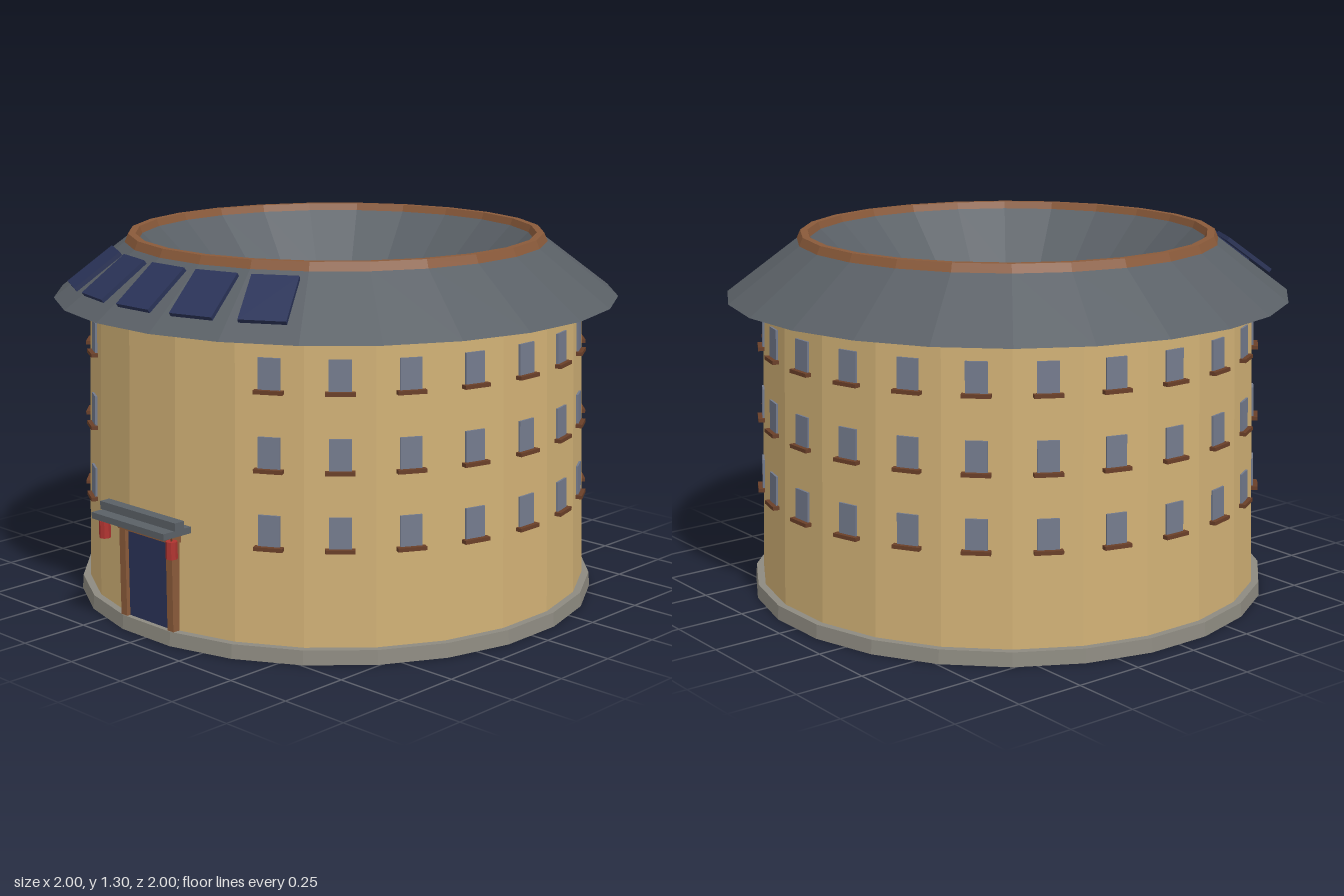
import * as THREE from 'three';

const SIDES = 24, STEP = Math.PI * 2 / SIDES, HALF = STEP / 2;

function mat(name, color) {
  const m = new THREE.MeshStandardMaterial({ color, flatShading: true });
  m.name = name;
  return m;
}

export function createModel() {
  const M = {
    earth: mat('rammed earth', 0xd0b075),
    stone: mat('stone', 0x8d8a80),
    paving: mat('paving', 0x9b9488),
    tile: mat('roof tile', 0x5a6066),
    wood: mat('wood', 0x8a5a3a),
    darkWood: mat('dark wood', 0x6a3f28),
    glass: mat('window glass', 0x737a8c),
    navy: mat('navy panel', 0x2a3358),
    red: mat('lantern red', 0xb03430),
    green: mat('foliage', 0x4a8f5c),
  };
  const model = new THREE.Group();
  model.name = 'roundHouse';

  function add(name, geo, material, x = 0, y = 0, z = 0, parent = model) {
    const m = new THREE.Mesh(geo, material);
    m.name = name;
    m.position.set(x, y, z);
    parent.add(m);
    return m;
  }
  const box = (w, h, d) => new THREE.BoxGeometry(w, h, d);

  // 24-sided ring from an (r, y) profile, with a flat side facing front
  function ring(name, profile, material) {
    const pts = profile.map(([r, y]) => new THREE.Vector2(r, y));
    return add(name, new THREE.LatheGeometry(pts, SIDES, HALF), material);
  }
  const band = (name, r0, r1, y0, y1, material) =>
    ring(name, [[r1, y0], [r1, y1], [r0, y1], [r0, y0], [r1, y0]], material);

  // group turned so that its +z points out of one side of the building
  function side(name, angle) {
    const g = new THREE.Group();
    g.name = name;
    g.rotation.y = angle;
    model.add(g);
    return g;
  }

  // base, courtyard and walls
  ring('plinth', [[0, 0], [0.938, 0], [0.934, 0.05], [0, 0.05]], M.stone);
  ring('courtyard', [[0.57, 0.055], [0, 0.055]], M.paving);
  ring('walls', [[0.908, 0.05], [0.88, 1.08], [0.56, 1.08], [0.56, 0.05]], M.earth);

  // ring roof with ridge cap
  ring('roof', [[0.505, 1.08], [1.0085, 1.08], [0.745, 1.28], [0.71, 1.28], [0.505, 1.08]], M.tile);
  ring('ridgeCap', [[0.755, 1.272], [0.742, 1.302], [0.716, 1.302], [0.705, 1.272], [0.755, 1.272]], M.wood);

  // outer windows on every side but the three at the front
  const lean = 0.028 / 1.03;
  const wallAt = y => (0.908 - lean * (y - 0.05)) * Math.cos(HALF);
  for (let i = 2; i <= SIDES - 2; i++) {
    const g = side('windowColumn', i * STEP);
    for (const y of [0.385, 0.645, 0.905]) {
      const w = add('window', box(0.074, 0.106, 0.009), M.glass, 0, y + 0.053, wallAt(y + 0.053) + 0.003, g);
      w.rotation.x = -lean;
      add('windowSill', box(0.098, 0.013, 0.03), M.darkWood, 0, y - 0.005, wallAt(y) + 0.008, g);
    }
  }

  // inner galleries: decks, rails, posts and openings
  const floors = [0.31, 0.565, 0.82];
  for (const y of floors) {
    band('galleryDeck', 0.508, 0.56, y - 0.03, y, M.wood);
    band('galleryRail', 0.508, 0.52, y + 0.09, y + 0.105, M.darkWood);
  }
  for (let i = 0; i < 12; i++) {
    const g = side('galleryPost', HALF + i * 2 * STEP);
    add('post', new THREE.CylinderGeometry(0.009, 0.009, 1.04, 6), M.darkWood, 0, 0.57, 0.507, g);
  }
  for (let i = 0; i < SIDES; i++) {
    const g = side('innerOpenings', i * STEP);
    for (const y of [0.05, ...floors])
      add('innerWindow', box(0.07, 0.13, 0.008), M.glass, 0, y + 0.135, 0.56 * Math.cos(HALF) - 0.003, g);
  }

  // solar panels on the front roof slopes
  for (let i = -2; i <= 2; i++) {
    const p = add('solarPanel', box(0.16, 0.015, 0.2), M.navy, 0, 1.2, 0.872, side('solarMount', i * STEP));
    p.rotation.x = 0.64;
  }

  // front gate with canopy and lanterns
  add('door', box(0.22, 0.31, 0.02), M.navy, 0, 0.205, 0.898);
  add('lintel', box(0.28, 0.028, 0.05), M.wood, 0, 0.373, 0.9);
  add('canopy', box(0.37, 0.022, 0.12), M.tile, 0, 0.41, 0.94);
  add('canopyRidge', box(0.385, 0.028, 0.04), M.tile, 0, 0.436, 0.936);
  for (const s of [-1, 1]) {
    add('doorPost', box(0.03, 0.31, 0.035), M.wood, s * 0.12, 0.205, 0.905);
    add('lantern', new THREE.CylinderGeometry(0.02, 0.02, 0.06, 8), M.red, s * 0.172, 0.355, 0.955);
    add('lanternCord', box(0.004, 0.02, 0.004), M.darkWood, s * 0.172, 0.392, 0.955);
  }

  // central hall
  add('hallBody', box(0.36, 0.26, 0.36), M.earth, 0, 0.18, 0);
  add('hallDoor', box(0.1, 0.18, 0.008), M.darkWood, 0, 0.145, 0.182);
  add('hallEave', box(0.465, 0.03, 0.465), M.tile, 0, 0.325, 0);
  const hallRoof = add('hallRoof', new THREE.ConeGeometry(0.2 * Math.SQRT2, 0.16, 4), M.tile, 0, 0.42, 0);
  hallRoof.rotation.y = Math.PI / 4;

  // courtyard trees
  for (const x of [-0.313, 0.313]) for (const z of [-0.317, 0.313]) {
    add('treeTrunk', new THREE.CylinderGeometry(0.012, 0.015, 0.1, 6), M.darkWood, x, 0.1, z);
    add('treeCrown', new THREE.SphereGeometry(0.062, 6, 4), M.green, x, 0.19, z);
  }
  return model;
}
